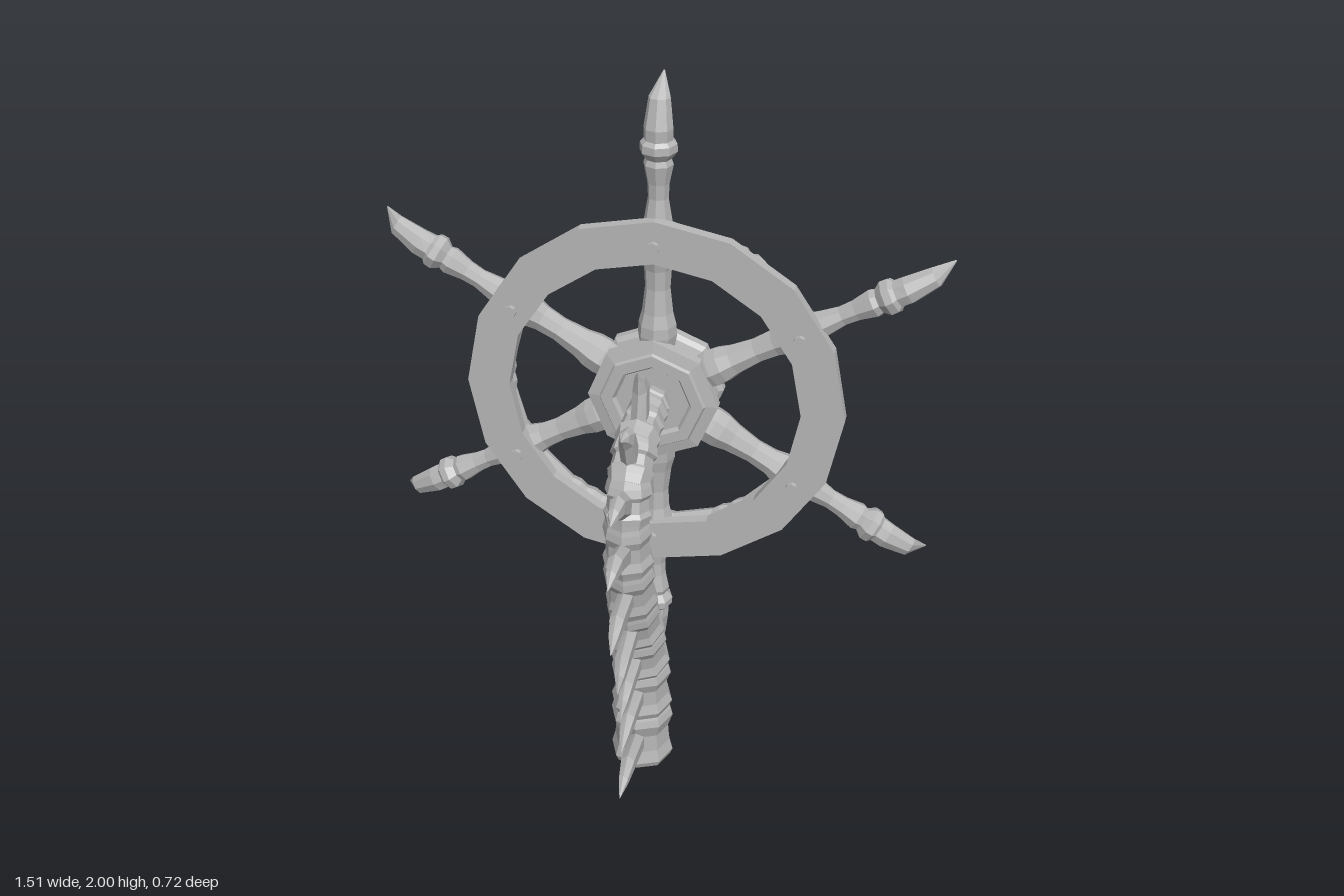
import * as THREE from 'three';

const bone = new THREE.MeshStandardMaterial({ color: 0xb6b6b6, flatShading: true });
bone.name = 'bone grey';

function add(parent, name, geometry, x = 0, y = 0, z = 0) {
  const mesh = new THREE.Mesh(geometry, bone);
  mesh.name = name;
  mesh.position.set(x, y, z);
  parent.add(mesh);
  return mesh;
}

// Closed loft along +y; each station is [y, zOffset, halfWidthX, halfWidthZ]
function loft(stations, sides) {
  const rows = stations.length - 1;
  const geo = new THREE.CylinderGeometry(1, 1, 1, sides, rows);
  const p = geo.attributes.position;
  for (let i = 0; i < p.count; i++) {
    const [y, off, rx, rz] = stations[Math.round((p.getY(i) + 0.5) * rows)];
    p.setXYZ(i, p.getX(i) * rx, y, p.getZ(i) * rz + off);
  }
  geo.computeVertexNormals();
  return geo;
}
const round = (list) => list.map(([y, r]) => [y, 0, r, r]);

// Curved column of vertebrae, each with a hooked spike
function buildSpine() {
  const spine = new THREE.Group();
  spine.name = 'spineColumn';
  // joints as [z, y, radius]
  const joints = [
    [-0.035, 0, 0.091], [-0.03, 0.19, 0.089], [-0.015, 0.355, 0.085], [0.03, 0.5, 0.079],
    [0.09, 0.635, 0.073], [0.135, 0.79, 0.07], [0.15, 0.94, 0.065], [0.125, 1.05, 0.062],
    [0.05, 1.115, 0.062], [-0.06, 1.13, 0.057], [-0.15, 1.13, 0.053],
  ];
  // spike tips as [z, y]
  const tips = [
    [0.255, 0.072], [0.23, 0.22], [0.235, 0.345], [0.27, 0.46], [0.34, 0.645],
    [0.365, 0.87], [0.33, 1.04], [0.21, 1.215], [0.025, 1.31],
  ];
  for (let i = 0; i < joints.length - 1; i++) {
    const [z0, y0, r0] = joints[i], [z1, y1, r1] = joints[i + 1];
    const dz = z1 - z0, dy = y1 - y0, len = Math.hypot(dz, dy), mid = (r0 + r1) / 2;
    const start = i === 0 ? 0 : -0.018;
    const vertebra = add(spine, 'vertebra', loft(round([
      [start, r0 * 0.84], [Math.max(start, 0) + 0.006, r0 * 0.92], [0.025, r0],
      [len * 0.33, mid * 0.9], [len * 0.62, mid * 0.86], [len - 0.03, r1 * 1.02],
      [len - 0.008, r1 * 0.95], [len + 0.018, r1 * 0.82],
    ]), 8), 0, y0, z0);
    vertebra.rotation.x = Math.atan2(dz, dy);

    if (!tips[i]) continue;
    const bz = (z0 + z1) / 2 + (dy / len) * mid * 0.75;
    const by = (y0 + y1) / 2 - (dz / len) * mid * 0.75;
    const tz = tips[i][0] - bz, ty = tips[i][1] - by, l = Math.hypot(tz, ty);
    const spike = add(spine, 'spike', loft([
      [-0.015, 0, 0.024, 0.043], [l * 0.52, -0.027, 0.022, 0.034],
      [l * 0.78, -0.018, 0.015, 0.02], [l, 0, 0.001, 0.001],
    ], 6), 0, by, bz);
    spike.rotation.x = Math.atan2(tz, ty);
  }
  return spine;
}

// Skull on the back of the hub, facing -z
function buildSkull() {
  const skull = new THREE.Group();
  skull.name = 'skull';
  skull.position.set(0, 1.14, -0.275);

  const geo = new THREE.SphereGeometry(1, 22, 16);
  const p = geo.attributes.position;
  const bump = (dx, dy, w) => Math.exp(-(dx * dx + dy * dy) / (w * w));
  for (let i = 0; i < p.count; i++) {
    let x = p.getX(i), y = p.getY(i), z = p.getZ(i);
    if (z < 0) {
      const ax = Math.abs(x);
      z = -Math.pow(-z, 0.8);                      // boxier face
      z += 0.55 * bump(ax - 0.38, y + 0.12, 0.22); // eye sockets
      z += 0.35 * bump(ax, y + 0.47, 0.13);        // nose opening
      z -= 0.1 * bump(ax - 0.35, y - 0.2, 0.2);    // brow
      z -= 0.16 * bump(ax - 0.55, y + 0.48, 0.2);  // cheekbones
      z -= 0.22 * bump(ax, y + 0.8, 0.4);          // upper jaw
    }
    if (y < -0.35) x *= 1 - 0.25 * (-0.35 - y);
    p.setXYZ(i, x * 0.122, y * 0.115, z * 0.083);
  }
  geo.computeVertexNormals();
  add(skull, 'cranium', geo);

  const jaw = add(skull, 'lowerJaw', new THREE.TorusGeometry(0.058, 0.017, 6, 9, Math.PI), 0, -0.122, -0.01);
  jaw.rotation.x = -Math.PI / 2;
  for (let i = 0; i < 7; i++) {
    const a = (i - 3) * 0.36;
    for (const [y, h] of [[-0.084, 0.026], [-0.107, 0.022]]) {
      const tooth = add(skull, 'tooth', new THREE.BoxGeometry(0.015, h, 0.014),
        Math.sin(a) * 0.06, y, -0.012 - Math.cos(a) * 0.06);
      tooth.rotation.y = -a;
    }
  }
  for (const s of [-1, 1]) {
    const hinge = add(skull, 'jawHinge', new THREE.BoxGeometry(0.022, 0.08, 0.035), s * 0.066, -0.09, -0.012);
    hinge.rotation.z = s * -0.2;
  }
  return skull;
}

function buildWheel() {
  const wheel = new THREE.Group();
  wheel.name = 'wheel';
  wheel.position.y = 1.13;

  // Flat sixteen-sided rim plate, outlines counter-clockwise
  const polygon = (r) => Array.from({ length: 16 }, (_, i) =>
    new THREE.Vector2(r * Math.cos(i * Math.PI / 8), r * Math.sin(i * Math.PI / 8)));
  const shape = new THREE.Shape(polygon(0.515));
  shape.holes.push(new THREE.Path(polygon(0.398)));
  add(wheel, 'rimPlate', new THREE.ExtrudeGeometry(shape, { depth: 0.032, bevelEnabled: false }), 0, 0, -0.186);

  // Ring of bones behind the plate
  const R = 0.435, half = R * Math.tan(Math.PI / 12);
  const rimBone = loft(round([
    [-half - 0.006, 0.036], [-half + 0.008, 0.048], [-half + 0.035, 0.048], [-half + 0.06, 0.039],
    [half - 0.06, 0.039], [half - 0.035, 0.048], [half - 0.008, 0.048], [half + 0.006, 0.036],
  ]), 8);
  for (let i = 0; i < 12; i++) {
    const a = (i + 0.5) * Math.PI / 6;
    const b = add(wheel, 'rimBone', rimBone, R * Math.sin(a), R * Math.cos(a), -0.218);
    b.rotation.z = Math.PI / 2 - a;
  }

  // Six bone spokes ending in claws that hook backwards
  const spokeGeo = loft([
    ...round([[0.13, 0.046], [0.175, 0.053], [0.205, 0.051], [0.24, 0.042], [0.31, 0.034], [0.365, 0.037],
      [0.4, 0.046], [0.46, 0.047], [0.5, 0.037], [0.56, 0.027], [0.6, 0.029], [0.65, 0.039],
      [0.665, 0.034], [0.685, 0.049], [0.705, 0.048], [0.715, 0.038]]),
    [0.745, 0.004, 0.038, 0.035], [0.82, -0.008, 0.028, 0.025], [0.87, -0.06, 0.002, 0.002],
  ], 8);
  const rivetGeo = new THREE.CylinderGeometry(0.017, 0.017, 0.128, 8);
  for (let i = 0; i < 6; i++) {
    const a = i * Math.PI / 3;
    add(wheel, 'spoke', spokeGeo, 0, 0, -0.21).rotation.z = -a;
    const rivet = add(wheel, 'rivet', rivetGeo, 0.445 * Math.sin(a), 0.445 * Math.cos(a), -0.205);
    rivet.rotation.x = Math.PI / 2;
  }

  // Stepped octagonal hub
  const hub = add(wheel, 'hub', loft(round([
    [-0.284, 0.13], [-0.284, 0.16], [-0.272, 0.176], [-0.248, 0.176], [-0.238, 0.163],
    [-0.19, 0.163], [-0.18, 0.178], [-0.152, 0.178], [-0.146, 0.145], [-0.138, 0.14],
    [-0.138, 0.108], [-0.15, 0.1],
  ]), 8));
  hub.rotation.x = Math.PI / 2;
  return wheel;
}

export function createModel() {
  const model = new THREE.Group();
  model.name = 'boneWheel';
  model.add(buildSpine(), buildWheel(), buildSkull());
  return model;
}
